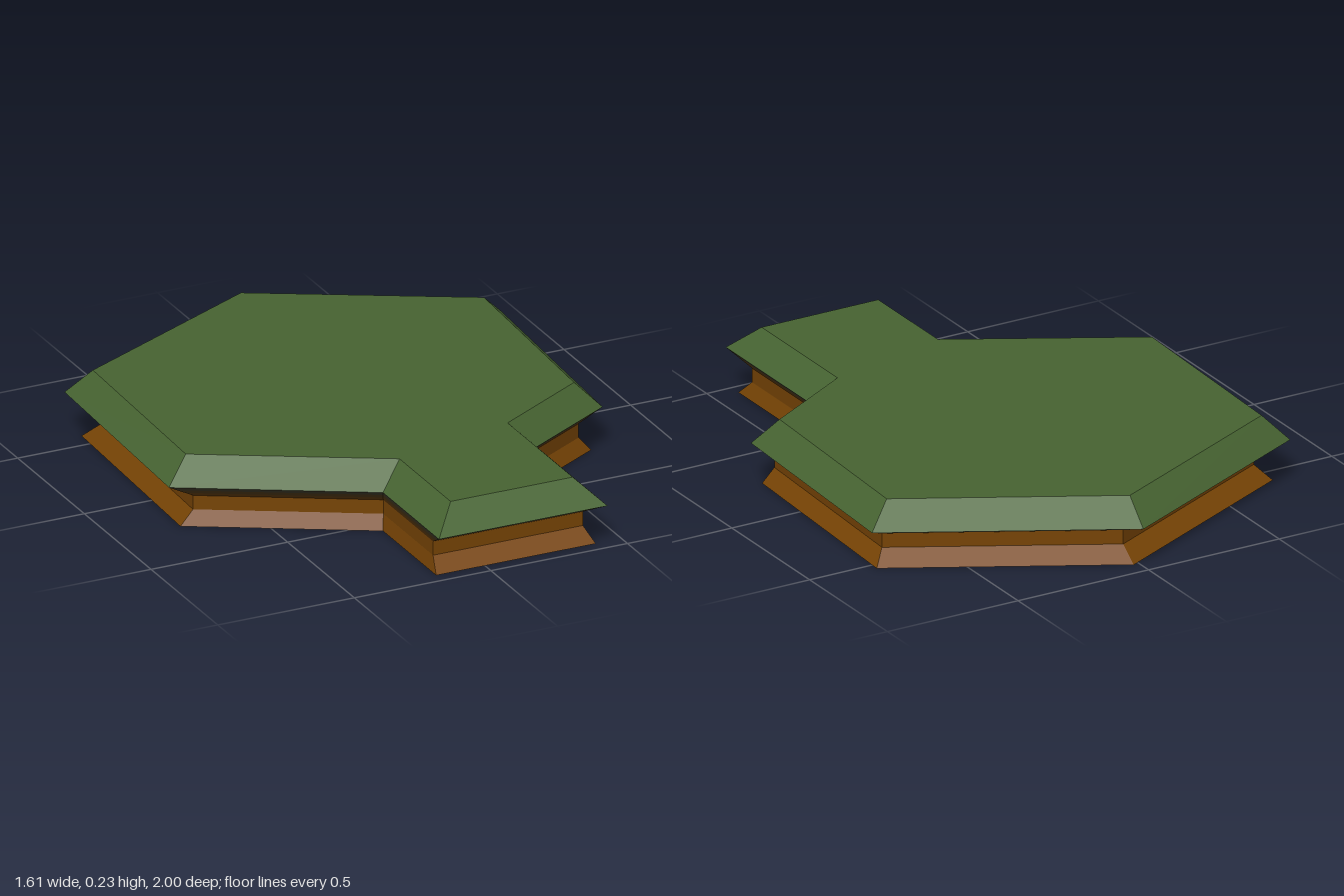
import * as THREE from 'three';

// Outlines as [x, z], counter-clockwise seen from above
const rim = [
  [0.02, -1], [-0.775, -0.61], [-0.805, 0.235], [-0.19, 0.58], [-0.19, 1],
  [0.427, 1], [0.427, 0.47], [0.763, 0.275], [0.803, -0.57],
];
const plateau = [
  [0.015, -0.905], [-0.697, -0.557], [-0.72, 0.187], [-0.105, 0.53], [-0.105, 0.913],
  [0.342, 0.913], [0.342, 0.425], [0.682, 0.227], [0.717, -0.52],
];

// Rim outline shrunk about a fixed centre
const scaled = (s, cx = 0.03, cz = 0.15) =>
  rim.map(([x, z]) => [cx + (x - cx) * s, cz + (z - cz) * s]);

function geometryFrom(positions) {
  const g = new THREE.BufferGeometry();
  g.setAttribute('position', new THREE.Float32BufferAttribute(positions, 3));
  g.computeVertexNormals();
  return g;
}

// Flat-faced band joining a lower ring to an upper ring
function band(lower, y0, upper, y1) {
  const p = [];
  lower.forEach((a, i) => {
    const j = (i + 1) % lower.length;
    const A = [a[0], y0, a[1]], B = [lower[j][0], y0, lower[j][1]];
    const C = [upper[j][0], y1, upper[j][1]], D = [upper[i][0], y1, upper[i][1]];
    p.push(...A, ...B, ...C, ...A, ...C, ...D);
  });
  return geometryFrom(p);
}

// Flat cap filling a ring, facing up
function cap(ring, y) {
  const pts = ring.map(([x, z]) => new THREE.Vector2(x, -z));
  const p = [];
  for (const tri of THREE.ShapeUtils.triangulateShape(pts, [])) {
    for (const k of tri) p.push(ring[k][0], y, ring[k][1]);
  }
  return geometryFrom(p);
}

function material(name, color) {
  const m = new THREE.MeshStandardMaterial({ color, side: THREE.DoubleSide, flatShading: true });
  m.name = name;
  return m;
}

export function createModel() {
  const group = new THREE.Group();
  group.name = 'terrainTile';
  const grass = material('grass green', 0x476432);
  const earth = material('earth brown', 0x774405);
  const blends = [
    material('grey soil', 0x48432f),
    material('dark soil', 0x58401d),
    material('dark earth', 0x6a420e),
  ];
  const add = (name, geometry, mat) => {
    const mesh = new THREE.Mesh(geometry, mat);
    mesh.name = name;
    group.add(mesh);
  };

  // Grass top and its bevelled edge
  add('grassTop', cap(plateau, 0.235), grass);
  add('grassBevel', band(rim, 0.15, plateau, 0.235), grass);

  // Overhang underside, fading from grey soil to earth
  const neck = 0.889;
  blends.forEach((mat, i) => {
    const t0 = i / 3, t1 = (i + 1) / 3;
    add('overhang' + (i + 1), band(
      scaled(1 - (1 - neck) * t1), 0.15 - 0.05 * t1,
      scaled(1 - (1 - neck) * t0), 0.15 - 0.05 * t0), mat);
  });

  // Earth wall and flared foot, open underneath
  add('earthWall', band(scaled(neck), 0.05, scaled(neck), 0.1), earth);
  add('earthFoot', band(scaled(0.947), 0, scaled(neck), 0.05), earth);
  return group;
}
